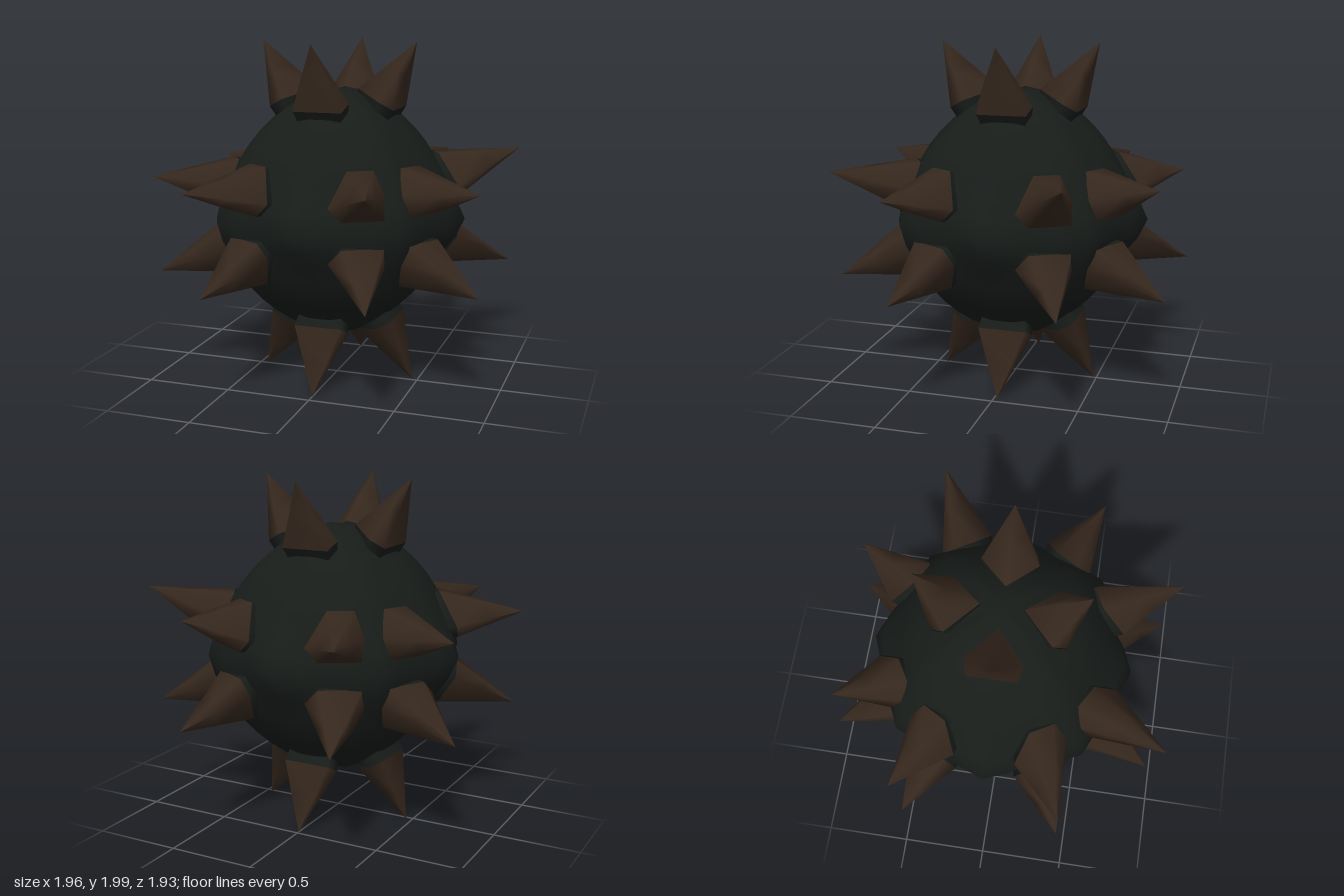
import * as THREE from 'three';
import { mergeVertices } from 'three/addons/utils/BufferGeometryUtils.js';

const V = (x, y, z) => new THREE.Vector3(x, y, z);
const CENTRE = V(0, 1.01, -0.02);
const bodyMat = new THREE.MeshStandardMaterial({ color: 0x171c19 });
const spikeMat = new THREE.MeshStandardMaterial({ color: 0x35271d });

// Sphere with shallow ridges along the strips between the spikes
function bodyGeometry() {
  let g = new THREE.SphereGeometry(1, 32, 20);
  g.deleteAttribute('uv');
  g.deleteAttribute('normal');
  g = mergeVertices(g);
  const p = g.attributes.position;
  const v = V(0, 0, 0);
  for (let i = 0; i < p.count; i++) {
    v.fromBufferAttribute(p, i).normalize();
    const az = Math.atan2(v.x, v.z);
    const lat = Math.asin(v.y);
    const ridge = 0.5 + 0.5 * Math.cos(8 * az);
    const diagonal = 0.5 - 0.5 * Math.cos(4 * az);
    const equator = Math.exp(-((lat / 0.22) ** 2));
    const r = 0.65 + equator * (0.03 + 0.08 * ridge)
      + 0.05 * diagonal * Math.cos(lat) * (1 - equator) * ridge + 0.07 * Math.abs(v.y) ** 8;
    p.setXYZ(i, v.x * r, v.y * r, v.z * r);
  }
  g.computeVertexNormals();
  return g;
}

// Smooth skin through rings of equal length
function skin(rings) {
  const n = rings[0].length;
  const index = [];
  for (let k = 0; k < rings.length - 1; k++) {
    for (let i = 0; i < n; i++) {
      const a = k * n + i, b = k * n + (i + 1) % n;
      index.push(a, b, a + n, b, b + n, a + n);
    }
  }
  const g = new THREE.BufferGeometry().setFromPoints(rings.flat());
  g.setIndex(index);
  const merged = mergeVertices(g, 1e-5);
  merged.computeVertexNormals();
  return merged;
}

// Pointed spike on a short collar that sinks into the body
function addSpike(group, name, loop, tip) {
  const area = V(0, 0, 0);
  loop.forEach((a, i) => area.add(a.clone().cross(loop[(i + 1) % loop.length])));
  const base = area.dot(tip) < 0 ? [...loop].reverse() : loop;
  const mid = base.map((q) => q.clone().lerp(tip, 0.5));
  const end = base.map((q) => tip.clone().add(q.clone().sub(tip).multiplyScalar(0.004)));
  const foot = base.map((q) => q.clone().multiplyScalar(0.88));
  const parts = [[name, skin([base, mid, end]), spikeMat], [name + 'Collar', skin([foot, base]), bodyMat]];
  for (const [label, geo, mat] of parts) {
    const mesh = new THREE.Mesh(geo, mat);
    mesh.name = label;
    mesh.position.copy(CENTRE);
    group.add(mesh);
  }
}

export function createModel() {
  const group = new THREE.Group();
  group.name = 'spikedBall';
  const body = new THREE.Mesh(bodyGeometry(), bodyMat);
  body.name = 'body';
  body.position.copy(CENTRE);
  group.add(body);
  const up = V(0, 1, 0);

  // Four spikes around each pole: base as (lateral, height, outward)
  const polarBase = [[0, 0.72, 0.12], [0.16, 0.66, 0.29], [0.14, 0.615, 0.37], [-0.14, 0.615, 0.37], [-0.16, 0.66, 0.29]];
  for (const s of [1, -1]) {
    for (let k = 0; k < 4; k++) {
      const turn = (q) => q.applyAxisAngle(up, k * Math.PI / 2);
      const loop = polarBase.map(([x, y, z]) => turn(V(x, s * y, z)));
      addSpike(group, s > 0 ? 'topSpike' : 'bottomSpike', loop, turn(V(0, s > 0 ? 0.99 : -1.0, 0.465)));
    }
  }

  // Eight spikes in each side ring: base as (azimuth, height, distance from centre)
  const sideBase = [[14, 0.15, 0.72], [20, 0.075, 0.71], [39, 0.075, 0.71], [41, 0.19, 0.69], [37, 0.33, 0.68], [23, 0.33, 0.68]];
  // Upper tips by quarter turn: a pair on each of front, left, back and right
  const upperTips = [
    [[0.47, 1.28, 0.97], [-0.52, 1.25, 0.97]],
    [[0.98, 1.36, -0.51], [0.94, 1.24, 0.46]],
    [[-0.46, 1.22, -0.92], [0.46, 1.28, -0.91]],
    [[-0.98, 1.23, 0.43], [-0.93, 1.23, -0.51]],
  ];
  for (const s of [1, -1]) {
    for (let k = 0; k < 4; k++) {
      [1, -1].forEach((m, j) => {
        const turn = (q) => q.applyAxisAngle(up, k * Math.PI / 2);
        const loop = sideBase.map(([deg, h, r]) => {
          const a = THREE.MathUtils.degToRad(deg);
          const flat = Math.sqrt(r * r - h * h);
          return turn(V(m * flat * Math.sin(a), s * h, flat * Math.cos(a)));
        });
        // Quarter turns carry +x towards -z, so a pair lists its m = +1 spike first
        const tip = s > 0 ? V(...upperTips[k][j]).sub(CENTRE) : turn(V(m * 0.46, -0.335, 0.94));
        addSpike(group, s > 0 ? 'upperSideSpike' : 'lowerSideSpike', loop, tip);
      });
    }
  }
  return group;
}
